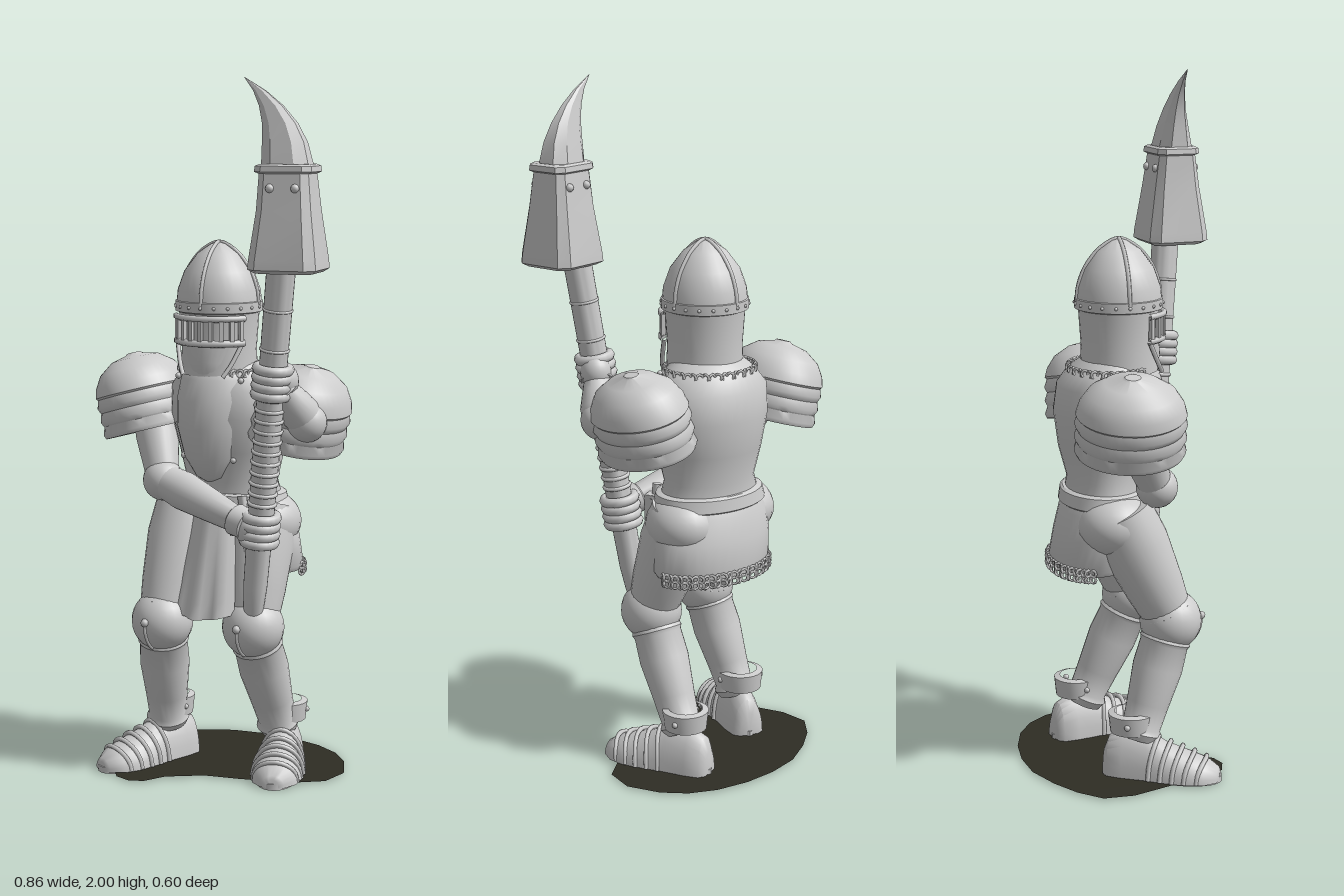
import * as THREE from 'three';
import { toCreasedNormals } from 'three/addons/utils/BufferGeometryUtils.js';

const V = (x, y, z) => new THREE.Vector3(x, y, z);
const UP = V(0, 1, 0);

// Unit outlines for lofts, running from +z towards +x
const ring = (n) => Array.from({ length: n }, (_, i) => {
  const a = (i / n) * Math.PI * 2;
  return [Math.sin(a), Math.cos(a)];
});
const ROUND = ring(36);
const DOME = ring(24).map(([x, z]) => [x, Math.min(z, 0)]);
const chamfer = (c) => [[c, 1], [1, c], [1, -c], [c, -1], [-c, -1], [-1, -c], [-1, c], [-c, 1]];

// Closed skin through sections [y, centreX, centreZ, radiusX, radiusZ]
function loft(sections, outline = ROUND) {
  const n = outline.length, pos = [], idx = [];
  const add = ([y, cx, cz, rx, rz]) => outline.forEach(([u, w]) => pos.push(cx + u * rx, y, cz + w * rz));
  sections.forEach(add);
  for (let s = 0; s < sections.length - 1; s++) {
    for (let i = 0; i < n; i++) {
      const a = s * n + i, b = s * n + (i + 1) % n;
      idx.push(a, b, b + n, a, b + n, a + n);
    }
  }
  [sections[0], sections[sections.length - 1]].forEach((sec, end) => {
    const base = pos.length / 3;
    add(sec);
    pos.push(sec[1], sec[0], sec[2]);
    for (let i = 0; i < n; i++) {
      const a = base + i, b = base + (i + 1) % n, c = base + n;
      if (end) idx.push(a, b, c); else idx.push(b, a, c);
    }
  });
  const g = new THREE.BufferGeometry();
  g.setAttribute('position', new THREE.Float32BufferAttribute(pos, 3));
  g.setIndex(idx);
  g.computeVertexNormals();
  return g;
}

const lathe = (pts, n = 32) =>
  toCreasedNormals(new THREE.LatheGeometry(pts.map(([r, y]) => new THREE.Vector2(r, y)), n), 0.7);
const tube = (pts, r, n = 24) => new THREE.TubeGeometry(new THREE.CatmullRomCurve3(pts), n, r, 6);

export function createModel() {
  const steel = new THREE.MeshStandardMaterial({ color: 0xcccccc });
  steel.name = 'steel';
  const ground = new THREE.MeshStandardMaterial({ color: 0x2e2d24, side: THREE.DoubleSide });
  ground.name = 'dark ground';

  const root = new THREE.Group();
  root.name = 'armouredGuard';
  const group = (name, parent = root) => {
    const g = new THREE.Group();
    g.name = name;
    parent.add(g);
    return g;
  };
  const put = (name, geo, parent = root, at) => {
    const m = new THREE.Mesh(geo, steel);
    m.name = name;
    if (at) m.position.copy(at);
    parent.add(m);
    return m;
  };
  const ball = (name, at, r, parent, s = [1, 1, 1]) =>
    put(name, new THREE.SphereGeometry(r, 24, 16), parent, at).scale.set(...s);
  const rivet = (at, parent, r = 0.009) => put('rivet', new THREE.SphereGeometry(r, 8, 6), parent, at);
  // Turned limb from a to b; profile holds [fraction along, radius]
  const limb = (name, a, b, profile, parent) => {
    const d = b.clone().sub(a), len = d.length();
    const pts = [[0, profile[0][0] * len], ...profile.map(([t, r]) => [r, t * len]), [0, profile.at(-1)[0] * len]];
    const m = put(name, lathe(pts, 24), parent, a);
    m.quaternion.setFromUnitVectors(UP, d.normalize());
  };
  // Chain of small links on an ellipse between two angles (0 = front)
  const chain = (name, y, cx, cz, rx, rz, a0, a1, n, parent) => {
    const g = group(name, parent);
    for (let i = 0; i <= n; i++) {
      const a = a0 + (a1 - a0) * i / n;
      const m = put('link', new THREE.TorusGeometry(0.01, 0.004, 5, 8), g,
        V(cx + rx * Math.sin(a), y, cz + rz * Math.cos(a)));
      m.rotation.y = a + (i % 2 ? 0.5 : -0.5);
    }
  };

  // Ground patch
  const patch = new THREE.Shape([[-.32, -.16], [-.25, -.22], [-.16, -.275], [-.06, -.3], [.04, -.305], [.14, -.29],
    [.22, -.255], [.28, -.2], [.33, -.11], [.32, -.02], [.24, .05], [.1, .1], [0, .13], [-.09, .2], [-.12, .265],
    [-.16, .285], [-.21, .275], [-.25, .23], [-.3, .12], [-.36, 0], [-.37, -.09]].map((p) => new THREE.Vector2(...p)));
  put('groundPatch', new THREE.ShapeGeometry(patch).rotateX(Math.PI / 2), root, V(0, 0.004, 0)).material = ground;

  // Torso armour
  const torso = group('torso');
  put('cuirass', loft([[.79, -.02, -.05, .165, .115], [.86, -.02, -.05, .143, .108], [.95, -.02, -.05, .162, .132],
    [1.05, -.02, -.045, .185, .15], [1.13, -.025, -.045, .178, .14], [1.175, -.03, -.04, .14, .115],
    [1.21, -.035, -.02, .1, .09]]), torso);
  put('breastplate', loft([[.86, -.03, 0, .03, .06], [.875, -.03, 0, .06, .085], [.93, -.03, 0, .095, .115],
    [1.02, -.03, 0, .118, .135], [1.1, -.03, 0, .12, .13], [1.16, -.03, 0, .112, .11], [1.18, -.03, 0, .1, .095]]), torso);
  for (const s of [-1, 1]) for (const y of [.93, 1.02, 1.1, 1.16]) {
    rivet(V(-.03 + s * (y < 1 ? .085 : .107), y, y < 1 ? .06 : .055), torso);
  }
  put('belt', toCreasedNormals(loft([[.785, -.02, -.05, .172, .125], [.79, -.02, -.05, .18, .132],
    [.825, -.02, -.05, .17, .127], [.83, -.02, -.05, .16, .12]]), 0.6), torso);
  put('buckle', new THREE.BoxGeometry(.05, .05, .02), torso, V(-.02, .81, .08));
  put('pouch', new THREE.BoxGeometry(.06, .08, .05), torso, V(.085, .76, .065)).rotation.y = .5;
  limb('daggerSheath', V(.11, .66, .07), V(.085, .83, .06),
    [[0, .008], [.7, .014], [.75, .026], [.8, .026], [.82, .012], [1, .014]], torso);
  put('hipSkirt', toCreasedNormals(loft([[.595, 0, -.085, .18, .12], [.61, 0, -.085, .19, .125],
    [.7, -.01, -.07, .195, .125], [.77, -.02, -.055, .18, .125], [.8, -.02, -.05, .165, .115]]), 0.9), torso);
  for (const y of [.592, .61]) chain('skirtChain', y, 0, -.085, .19, .127, 1.7, 4.6, 30, torso);
  chain('collarChain', 1.178, -.033, -.035, .138, .117, 0, Math.PI * 2, 46, torso);
  // Flared side plates over the hips
  ball('rightHipPlate', V(-.145, .74, -.03), .1, torso, [1.05, .9, 1.1]);
  ball('leftHipPlate', V(.09, .74, -.06), .1, torso, [1.02, .9, 1.1]);

  // Front cloth panel, flared and bowed, with a mirrored skin behind it
  for (const side of [1, -1]) {
    const g = new THREE.PlaneGeometry(2, 1, 12, 8), p = g.attributes.position;
    for (let i = 0; i < p.count; i++) {
      const u = p.getX(i), v = .5 - p.getY(i);
      p.setXYZ(i, side * u * (.065 + .045 * v) - .015, .82 - v * (.345 - .02 * u * u),
        .075 + .085 * v - .04 * u * u + .008 * v * Math.cos(u * 9) + side * .002);
    }
    g.computeVertexNormals();
    put(side > 0 ? 'tabardFront' : 'tabardBack', g, torso);
  }

  // Helmet, turned slightly to its left
  const helm = group('helmet');
  helm.position.set(-.037, 0, -.008);
  helm.rotation.y = .14;
  const skull = [[.123, 1.37], [.119, 1.41], [.1, 1.463], [.062, 1.513], [.022, 1.54], [0, 1.546]];
  put('skullCap', lathe(skull), helm);
  put('helmetWall', lathe([[0, 1.17], [.112, 1.17], [.108, 1.24], [.115, 1.34], [.118, 1.37]]), helm);
  put('browBand', lathe([[.112, 1.345], [.126, 1.35], [.126, 1.378], [.115, 1.383]]), helm);
  const arc = [...skull.map(([r, y]) => V(r, y, 0)), ...skull.slice(0, -1).reverse().map(([r, y]) => V(-r, y, 0))];
  for (const a of [0, Math.PI / 2]) put('crestBand', tube(arc, .006, 40), helm).rotation.y = a;
  for (let i = 0; i < 20; i++) {
    const a = i / 20 * Math.PI * 2;
    rivet(V(.126 * Math.sin(a), 1.364, .126 * Math.cos(a)), helm, .005);
  }
  // Visor: rails and upright bars leaving sight slots
  const around = (a, r, y) => V(r * Math.sin(a), y, r * Math.cos(a) + .01);
  const rail = (y, r, t) => put('visorRail',
    tube(Array.from({ length: 13 }, (_, i) => around((i - 6) * .19, r, y)), t), helm);
  rail(1.335, .119, .009);
  rail(1.265, .117, .01);
  for (let i = 0; i < 9; i++) put('visorBar', new THREE.BoxGeometry(.012, .07, .012), helm,
    around((i - 4) * .26, .117, 1.3)).rotation.y = (i - 4) * .26;
  for (const s of [-1, 1]) put('chinEdge', tube([around(s * 1.1, .115, 1.265), around(s * .75, .115, 1.2),
    around(s * .55, .118, 1.17)], .007, 10), helm);
  put('chinPlate', loft([[1.17, 0, .01, .085, .1], [1.21, 0, .02, .08, .1], [1.265, 0, .01, .1, .105]]), helm);

  // Shoulder plates: domed cap above three overlapping lames
  const cap = [[0, -.1], [.115, -.105]];
  for (const y of [-.11, -.07, -.03]) cap.push([.134, y], [.139, y + .012], [.132, y + .036]);
  cap.push([.137, .012], [.13, .04], [.11, .075], [.07, .105], [.025, .117], [.02, .122], [0, .123]);
  const capGeo = lathe(cap, 40);
  for (const [name, at, tilt] of [['rightPauldron', V(-.305, 1.09, -.005), .28], ['leftPauldron', V(.224, 1.085, -.045), -.25]]) {
    const m = put(name, capGeo, root, at);
    m.scale.set(.97, 1, 1.12);
    m.rotation.z = tilt;
  }

  // Arms
  const arm = [[0, .062], [.5, .062], [1, .048]];
  const cuff = [[0, .05], [.25, .056], [.6, .046], [.85, .038], [.87, .046], [1, .042]];
  const rightArm = group('rightArm'), leftArm = group('leftArm');
  limb('upperArm', V(-.27, 1.08, 0), V(-.175, .86, .08), arm, rightArm);
  ball('elbowCop', V(-.17, .855, .085), .06, rightArm);
  limb('forearm', V(-.17, .855, .085), V(.15, .765, .135), cuff, rightArm);
  limb('upperArm', V(.21, 1.1, -.04), V(.29, 1.06, .05), arm, leftArm);
  ball('elbowCop', V(.29, 1.06, .05), .058, leftArm);
  limb('forearm', V(.29, 1.06, .05), V(.25, 1.17, .125), cuff, leftArm);

  // Polearm shaft with grip wraps
  const P0 = V(.14, .48, .09), P1 = V(.28, 1.5, .17);
  const onPole = (y) => P0.clone().lerp(P1, (y - P0.y) / (P1.y - P0.y));
  const lean = new THREE.Quaternion().setFromUnitVectors(UP, P1.clone().sub(P0).normalize());
  const pole = group('polearm');
  limb('shaft', P0, P1, [[0, .02], [.03, .028], [.1, .034], [.3, .037], [1, .04]], pole);
  const hoop = (name, y, r, t, parent) => {
    const m = put(name, new THREE.TorusGeometry(r, t, 8, 20).rotateX(Math.PI / 2), parent, onPole(y));
    m.quaternion.copy(lean);
  };
  for (let y = .83; y < 1.12; y += .03) hoop('gripWrap', y, .037, .006, pole);
  for (const y of [1.27, 1.38]) hoop('shaftRing', y, .039, .004, pole);

  // Gauntlets: four finger rings and a palm
  for (const [y, parent, dx, dz] of [[.755, rightArm, -.025, .012], [1.18, leftArm, .02, -.025]]) {
    for (let i = 0; i < 4; i++) hoop('finger', y + (i - 1.5) * .024, .044, .015, parent);
    ball('palm', onPole(y).add(V(dx, 0, dz)), .044, parent, [1, 1.15, 1]);
  }

  // Blade block: chamfered, tapered, with a hooked point
  const flat = (g) => toCreasedNormals(g, 0.25);
  const blade = group('bladeHead', pole);
  blade.position.set(.315, 0, .19);
  blade.rotation.y = .24;
  put('bladeBlock', flat(loft([[1.485, 0, 0, .08, .075], [1.495, 0, 0, .095, .092], [1.52, 0, 0, .093, .09],
    [1.65, 0, 0, .076, .07], [1.76, -.003, 0, .068, .055]], chamfer(.72))), blade);
  put('bladeCollar', flat(loft([[1.748, -.003, 0, .07, .058], [1.753, -.003, 0, .08, .066],
    [1.768, -.003, 0, .078, .064], [1.773, -.003, 0, .068, .055]], chamfer(.72))), blade);
  put('bladePoint', flat(loft([[1.765, -.004, 0, .066, .053], [1.83, -.012, 0, .058, .039], [1.88, -.026, 0, .046, .027],
    [1.925, -.05, 0, .032, .017], [1.965, -.083, 0, .017, .008], [2, -.125, 0, .001, .001]], chamfer(.5))), blade);
  for (const x of [-.035, .035]) for (const s of [-1, 1]) rivet(V(x, 1.71, s * .062), blade, .012);

  // Legs
  const footGeo = toCreasedNormals(loft([[-.1, 0, 0, .03, .07], [-.085, 0, 0, .048, .11], [-.04, 0, 0, .056, .13],
    [.03, 0, 0, .06, .13], [.08, 0, 0, .068, .1], [.15, 0, 0, .074, .075], [.2, 0, 0, .064, .058],
    [.235, 0, 0, .035, .035], [.24, 0, 0, .02, .025]], DOME).rotateX(Math.PI / 2), 0.8);
  const soleGeo = toCreasedNormals(loft([[0, 0, 0, 1, 1], [.018, 0, 0, 1, 1]],
    ROUND.map(([x, z]) => [x * (.06 + .02 * z), .07 + z * .175])), 0.6);
  const legs = [
    ['rightLeg', V(-.15, .78, -.02), V(-.145, .45, .13), V(-.195, .11, .03), V(-.2, 0, .03), -.32],
    ['leftLeg', V(.08, .78, -.06), V(.117, .45, .05), V(.115, .11, -.1), V(.13, 0, -.1), .41],
  ];
  for (const [name, hip, knee, ankle, heel, yaw] of legs) {
    const leg = group(name);
    limb('thigh', hip, knee, [[0, .095], [.3, .1], [.7, .085], [.88, .075], [.9, .082], [1, .07]], leg);
    ball('kneeCop', knee, .09, leg);
    rivet(knee.clone().add(V(0, .01, .09)), leg, .012);
    const strap = [0, -.25, -.5, -.75, -1].map((a) => knee.clone().add(V(0, .09 * Math.sin(a), .09 * Math.cos(a))));
    put('kneeStrap', tube(strap, .005, 10), leg);
    limb('greave', ankle, knee, [[0, .054], [.06, .064], [.1, .056], [.3, .062], [.6, .073], [.8, .07], [.83, .075], [.87, .07]], leg);
    const foot = group('foot', leg);
    foot.position.copy(heel);
    foot.rotation.y = yaw;
    put('shoe', footGeo, foot, V(0, .006, 0));
    put('sole', soleGeo, foot);
    // Overlapping foot lames
    for (const [z, w, h] of [[.06, .065, .114], [.095, .07, .1], [.13, .074, .088], [.165, .072, .075], [.2, .065, .061]]) {
      const band = Array.from({ length: 9 }, (_, i) => {
        const a = i / 8 * Math.PI;
        return V(w * Math.cos(a), .008 + h * Math.sin(a), z - .02 * Math.cos(a) ** 2);
      });
      put('footLame', tube(band, .007, 16), foot);
    }
    // Ankle cuff with side rivets
    put('ankleCuff', lathe([[.05, .13], [.062, .135], [.068, .19], [.05, .195]], 24), foot, V(0, 0, -.02));
    for (const s of [-1, 1]) rivet(V(s * .065, .165, -.02), foot);
  }
  return root;
}
